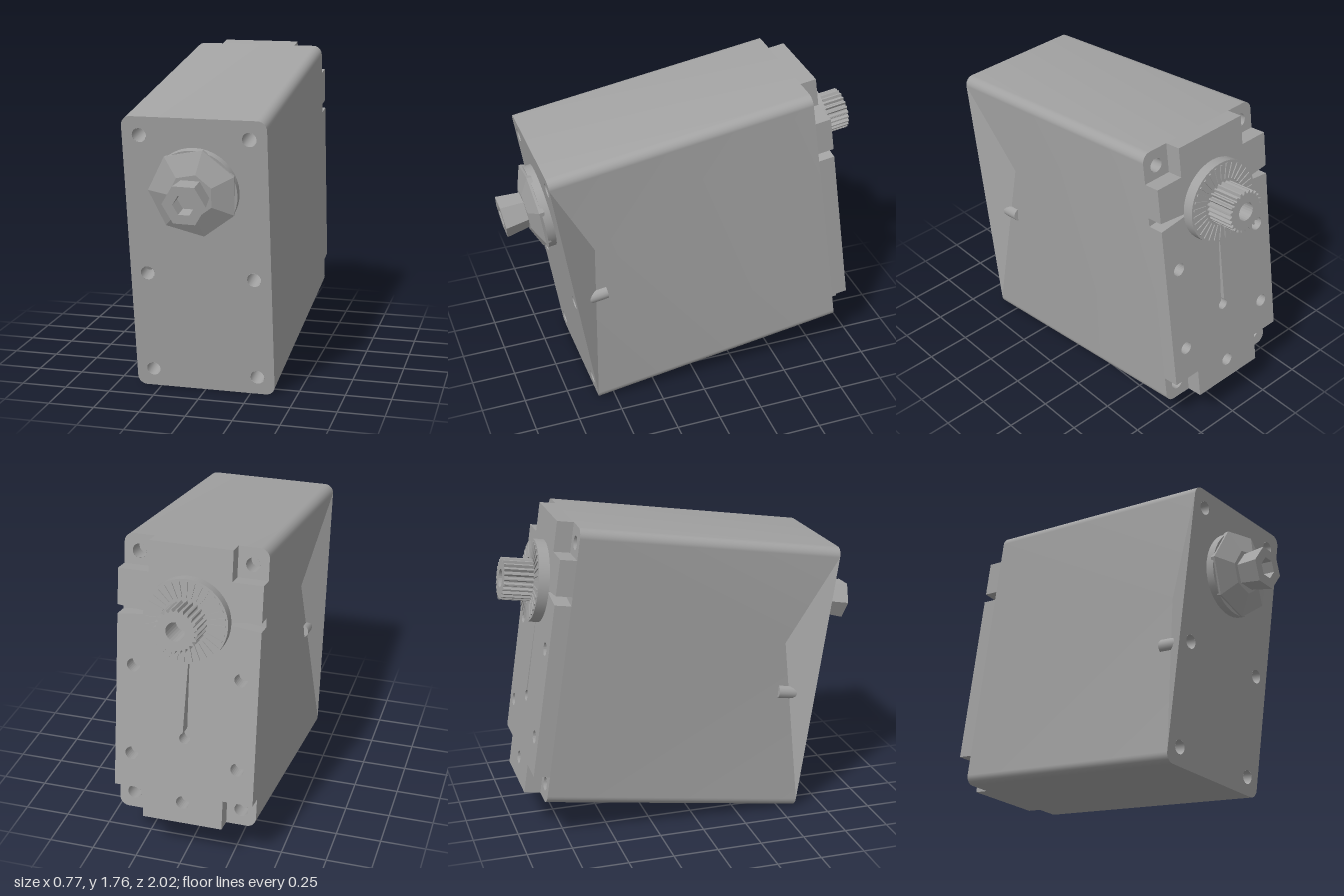
import * as THREE from 'three';
import { toCreasedNormals } from 'three/addons/utils/BufferGeometryUtils.js';

const W = 0.383, H = 0.77, FRONT = 0.78, BACK = -0.69, PLATE = -0.78, AXIS_Y = 0.385;

export function createModel() {
  const grey = new THREE.MeshStandardMaterial({ color: 0xa3a3a3, side: THREE.DoubleSide });
  grey.name = 'grey plastic';
  const model = new THREE.Group();
  model.name = 'servoMotor';
  const servo = new THREE.Group();
  servo.name = 'tiltedServo';
  servo.position.set(0, 0.882, -0.064);
  servo.rotation.x = 0.15;
  model.add(servo);

  const add = (name, geometry, x = 0, y = 0, z = 0) => {
    const mesh = new THREE.Mesh(geometry, grey);
    mesh.name = name;
    mesh.position.set(x, y, z);
    servo.add(mesh);
    return mesh;
  };
  const circle = (x, y, r) => new THREE.Path().absarc(x, y, r, 0, Math.PI * 2, true);
  // Cylinder along z between two depths
  const rod = (name, rBack, rFront, x, y, z0, z1, sides, open = false) => {
    const g = new THREE.CylinderGeometry(rFront, rBack, z1 - z0, sides, 1, open).rotateX(Math.PI / 2);
    return add(name, g, x, y, (z0 + z1) / 2);
  };
  // Blind screw hole: tube and floor
  const hole = (name, x, y, r, z, floor) => {
    rod(name, r, r, x, y, Math.min(z, floor), Math.max(z, floor), 16, true);
    add(name + 'Floor', new THREE.CircleGeometry(r, 16), x, y, floor);
  };

  // Rounded rectangle outline, counter-clockwise
  const R = 0.05, outline = [];
  [[1, 1], [-1, 1], [-1, -1], [1, -1]].forEach(([sx, sy], c) => {
    for (let i = 0; i <= 6; i++) {
      const a = (c + i / 6) * Math.PI / 2;
      outline.push(new THREE.Vector2(sx * (W - R) + R * Math.cos(a), sy * (H - R) + R * Math.sin(a)));
    }
  });

  // Case walls; each long side is pressed in towards one point
  const tris = [];
  outline.forEach((p, i) => {
    const q = outline[(i + 1) % outline.length];
    const ring = [[p.x, p.y, BACK], [q.x, q.y, BACK], [q.x, q.y, FRONT], [p.x, p.y, FRONT]];
    if (Math.abs(q.y - p.y) > 1) {
      const dent = [Math.sign(p.x) * 0.265, 0.18, 0.6];
      ring.forEach((v, k) => tris.push(...v, ...ring[(k + 1) % 4], ...dent));
    } else {
      for (const k of [0, 1, 2, 0, 2, 3]) tris.push(...ring[k]);
    }
  });
  const walls = new THREE.BufferGeometry();
  walls.setAttribute('position', new THREE.Float32BufferAttribute(tris, 3));
  add('caseWalls', toCreasedNormals(walls, 0.4));

  // Front cover with six screw holes
  const frontShape = new THREE.Shape(outline);
  for (const x of [-0.29, 0.29]) {
    for (const y of [0.67, -0.1, -0.67]) {
      frontShape.holes.push(circle(x, y, 0.038));
      hole('frontScrewHole', x, y, 0.038, FRONT, 0.59);
    }
  }
  add('frontCover', new THREE.ShapeGeometry(frontShape, 16), 0, 0, FRONT);

  // Rear of the case, seen in the corner notches
  const rearShape = new THREE.Shape(outline);
  for (const x of [-0.3, 0.3]) {
    for (const y of [-0.68, 0.68]) {
      rearShape.holes.push(circle(x, y, 0.038));
      hole('cornerScrewHole', x, y, 0.038, BACK, BACK + 0.1);
    }
  }
  add('caseRear', new THREE.ShapeGeometry(rearShape, 16), 0, 0, BACK);

  // Rear plate: notched corners, side slits, keyhole slot and screw holes
  const nx = 0.22, ny = H - 0.165;
  const half = [[nx, -H], [nx, -ny], [W, -ny], [W, AXIS_Y - 0.025], [0.2, AXIS_Y - 0.005],
    [0.2, AXIS_Y + 0.005], [W, AXIS_Y + 0.025], [W, ny], [nx, ny], [nx, H]];
  const plateShape = new THREE.Shape([...half, ...half.map(([x, y]) => [-x, y]).reverse()]
    .map(([x, y]) => new THREE.Vector2(x, y)));
  const keyhole = new THREE.Path();
  keyhole.moveTo(0.012, 0.3);
  keyhole.absarc(0, -0.28, 0.03, Math.PI * 0.37, Math.PI * 0.63, true);
  keyhole.lineTo(-0.012, 0.3);
  keyhole.closePath();
  plateShape.holes.push(keyhole);
  for (const [x, y] of [[-0.29, 0.09], [0.29, 0.09], [-0.29, -0.41], [0.29, -0.41], [0, -0.65]]) {
    plateShape.holes.push(circle(x, y, 0.036));
  }
  add('rearPlate', new THREE.ExtrudeGeometry(plateShape, { depth: BACK - PLATE, bevelEnabled: false, curveSegments: 12 }), 0, 0, PLATE);

  // Front bearing: round seat, faceted cone and faceted knob with a bore
  rod('bearingSeat', 0.23, 0.23, 0, AXIS_Y, FRONT - 0.05, 0.825, 40);
  const facet = (name, profile, sides, turn) => {
    const g = new THREE.LatheGeometry(profile.map(([r, z]) => new THREE.Vector2(r, z)), sides, turn)
      .rotateX(Math.PI / 2).toNonIndexed();
    g.computeVertexNormals();
    return add(name, g, 0, AXIS_Y + 0.005, 0);
  };
  facet('bearingCone', [[0.235, 0.81], [0.24, 0.838], [0.12, 0.885], [0, 0.885]], 7, 0.2);
  facet('bearingKnob', [[0.095, 0.86], [0.115, 1.015], [0.058, 1.015], [0.058, 0.93], [0, 0.93]], 6, 0.5);

  // Output flange with radial ribs
  const flangeZ = -0.838;
  rod('outputFlange', 0.225, 0.225, 0, AXIS_Y, flangeZ, PLATE, 40);
  for (let i = 0; i < 32; i++) {
    const rib = new THREE.BoxGeometry(0.085, 0.012, 0.012).translate(0.17, 0, 0);
    add('flangeRib', rib, 0, AXIS_Y, flangeZ).rotation.z = i * Math.PI / 16;
  }

  // Splined output shaft with a screw bore
  const teeth = 24, spline = [];
  for (let i = 0; i < teeth * 4; i++) {
    const r = i % 4 < 2 ? 0.115 : 0.1, a = i / (teeth * 4) * Math.PI * 2;
    spline.push(new THREE.Vector2(r * Math.cos(a), r * Math.sin(a)));
  }
  const shaftShape = new THREE.Shape(spline);
  shaftShape.holes.push(circle(0, 0, 0.05));
  add('outputShaft', new THREE.ExtrudeGeometry(shaftShape, { depth: 0.165, bevelEnabled: false, curveSegments: 12 }), 0, AXIS_Y, -0.998);

  return model;
}
